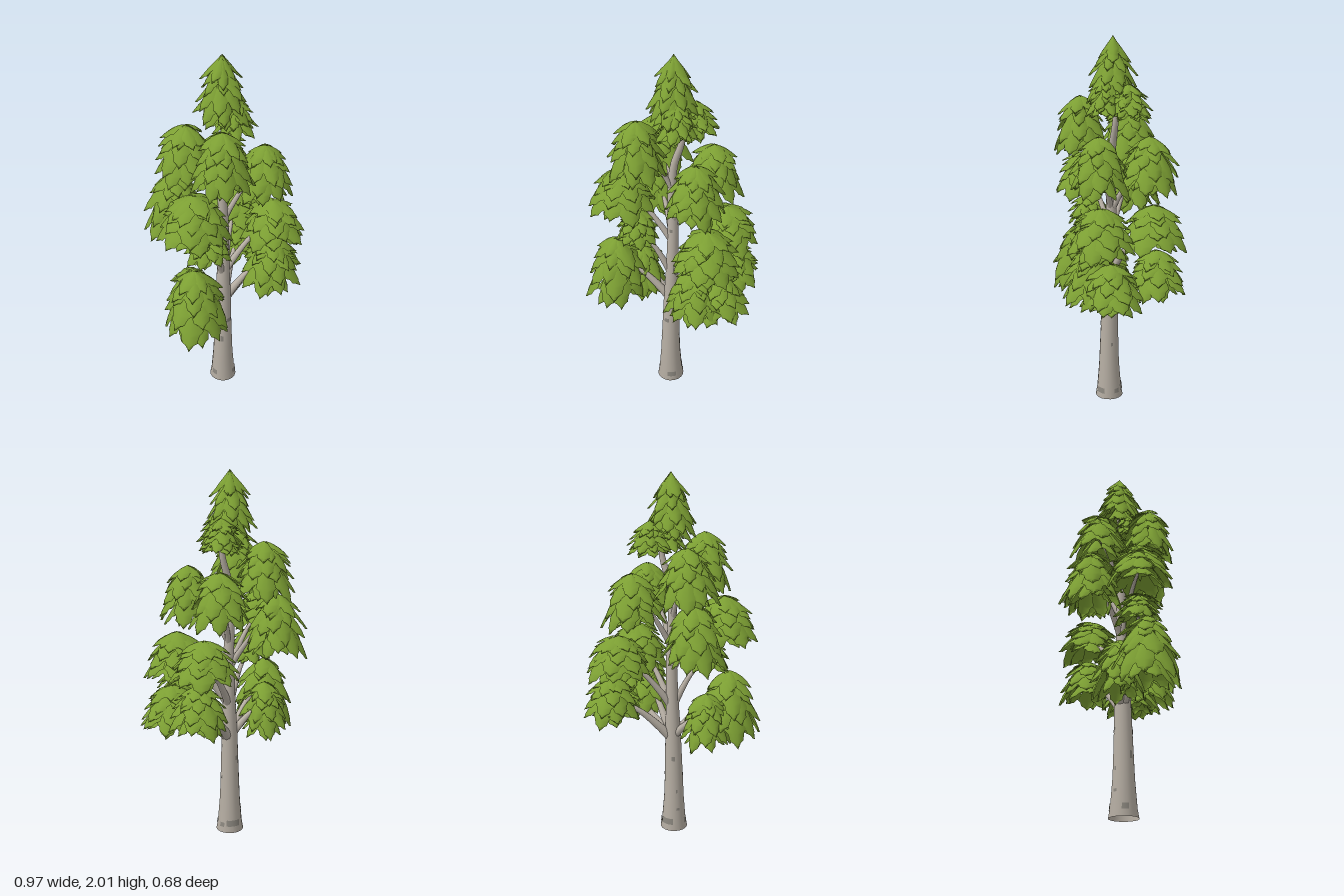
import * as THREE from 'three';
import { mergeGeometries } from 'three/addons/utils/BufferGeometryUtils.js';

// small seeded generator for natural variation
let seed = 7;
const rnd = () => {
  seed = (seed * 16807) % 2147483647;
  return seed / 2147483647;
};
const jitter = (a) => (rnd() * 2 - 1) * a;

// leaf outline: [distance along leaf, relative half width]
const OUTLINE = [[0, 0.6], [0.3, 0.95], [0.6, 1], [0.68, 0.68], [0.84, 0.5], [0.88, 0.28], [1, 0]];
const ACROSS = [-1, -0.5, 0, 0.5, 1];

// one drooping leaf laid along the meridian of a dome; tuck pulls its root inward
function leaf(profile, az, halfAngle, t0, t1, lift, flare, tuck) {
  const pos = [], index = [], n = ACROSS.length;
  OUTLINE.forEach(([v, w]) => {
    for (const s of ACROSS) {
      const [r, y] = profile(t0 + (t1 - t0) * v);
      const a = az + s * w * halfAngle;
      // edges curl inward, tip flares outward
      const bend = lift + flare * v * v - 0.012 * s * s;
      const out = r * (1 - tuck * (1 - v) ** 2) + bend * Math.min(1, r / 0.04);
      pos.push(Math.sin(a) * out, y + lift * 0.5, Math.cos(a) * out);
    }
  });
  for (let i = 0; i < OUTLINE.length - 1; i++) {
    for (let j = 0; j < n - 1; j++) {
      const a = i * n + j, b = a + n;
      index.push(a, b, a + 1, b, b + 1, a + 1);
    }
  }
  const g = new THREE.BufferGeometry();
  g.setAttribute('position', new THREE.Float32BufferAttribute(pos, 3));
  g.setIndex(index);
  g.computeVertexNormals();
  return g;
}

// dome of overlapping leaf tiers; cone = 0 is round, 1 is straight sided
function leafDome(R, H, cone, counts) {
  const profile = (t) => {
    const a = t * Math.PI / 2;
    return [
      R * THREE.MathUtils.lerp(Math.sin(a), t, cone),
      -H * THREE.MathUtils.lerp(1 - Math.cos(a), t, cone),
    ];
  };
  const parts = [];
  counts.forEach((count, k) => {
    const t0 = k === 0 ? 0 : (k / counts.length) * 0.8 - 0.06;
    const turn = rnd() * 6.28;
    for (let i = 0; i < count; i++) {
      const az = turn + (i / count) * Math.PI * 2 + jitter(0.15);
      const t1 = t0 + (k === 0 ? 0.46 : 0.4) + jitter(0.07);
      const lift = 0.005 + (i % 2) * 0.006 - k * 0.001;
      parts.push(leaf(profile, az, (Math.PI / count) * 1.25, t0, t1, lift,
        0.03 + jitter(0.014), k === 0 ? 0 : 0.3));
    }
  });
  return mergeGeometries(parts);
}

// outer dome plus a narrower one hanging lower inside it
function leafCluster(R, H, cone) {
  const outer = leafDome(R - 0.026, H * 0.9, cone, [5, 6, 7, 7, 8]);
  const inner = leafDome(R * 0.6, H * 0.7, cone, [5, 6, 6]);
  inner.translate(0, -H * 0.34, 0);
  return mergeGeometries([outer, inner]);
}

// tube along a curve, narrowed by a radius rule r(u, y)
function taperedTube(points, radius, segments, sides) {
  const curve = new THREE.CatmullRomCurve3(points.map((p) => new THREE.Vector3(...p)));
  const g = new THREE.TubeGeometry(curve, segments, 1, sides, false);
  const p = g.attributes.position, v = new THREE.Vector3();
  for (let i = 0; i <= segments; i++) {
    const c = curve.getPointAt(i / segments), r = radius(i / segments, c.y);
    for (let j = 0; j <= sides; j++) {
      const id = i * (sides + 1) + j;
      v.fromBufferAttribute(p, id).sub(c).multiplyScalar(r).add(c);
      p.setXYZ(id, v.x, v.y, v.z);
    }
  }
  return g;
}

// trunk radius by height: flared foot, slow taper
const TRUNK = [[0, 0.077], [0.05, 0.068], [0.2, 0.056], [0.4, 0.049], [0.58, 0.044],
  [0.8, 0.034], [1.1, 0.028], [1.45, 0.02], [1.85, 0.007]];
function trunkRadius(y) {
  for (let i = 1; i < TRUNK.length; i++) {
    const [y0, r0] = TRUNK[i - 1], [y1, r1] = TRUNK[i];
    if (y <= y1) return THREE.MathUtils.lerp(r0, r1, Math.max(0, (y - y0) / (y1 - y0)));
  }
  return TRUNK[TRUNK.length - 1][1];
}

// clusters: x, top y, z, radius, height, cone
const CLUSTERS = [
  [0, 2.0, 0, 0.135, 0.36, 0.6],
  [0.095, 1.76, -0.06, 0.11, 0.19, 0.3],
  [0.04, 1.8, 0.05, 0.105, 0.22, 0.5],
  [-0.14, 1.69, 0.14, 0.145, 0.33, 0.15],
  [-0.13, 1.64, -0.13, 0.155, 0.32, 0.15],
  [0.18, 1.51, 0.13, 0.155, 0.33, 0.15],
  [0.16, 1.5, -0.15, 0.155, 0.31, 0.15],
  [-0.27, 1.37, 0.07, 0.18, 0.27, 0.15],
  [-0.18, 1.37, -0.17, 0.16, 0.36, 0.15],
  [-0.18, 1.14, 0.08, 0.125, 0.2, 0.15],
  [0.25, 1.16, 0.14, 0.17, 0.27, 0.15],
  [0.25, 1.16, -0.14, 0.175, 0.25, 0.15],
  [-0.3, 0.95, 0.1, 0.175, 0.43, 0.15],
  [-0.21, 0.85, -0.03, 0.14, 0.32, 0.15],
  [0.21, 0.95, 0.17, 0.16, 0.32, 0.15],
  [0.305, 0.88, 0.1, 0.165, 0.27, 0.15],
  [0.29, 0.93, -0.15, 0.155, 0.27, 0.15],
];

// bark marks: angle about the trunk, y, arc, height
const MARKS = [
  [-0.05, 0.44, 0.6, 0.025], [-0.9, 0.31, 0.3, 0.04], [0.5, 0.045, 0.75, 0.03],
  [1.57, 0.325, 0.25, 0.02], [1.57, 0.51, 0.2, 0.02], [1.9, 0.045, 0.4, 0.025],
  [2.85, 0.055, 1.1, 0.035], [-1.56, 0.05, 0.5, 0.03], [-2.85, 0.44, 0.4, 0.025],
  [-2.5, 0.24, 0.2, 0.02], [-2.4, 0.13, 0.3, 0.015], [0.1, 1.04, 0.6, 0.02],
];

export function createModel() {
  seed = 7;
  const tree = new THREE.Group();
  tree.name = 'tree';
  const material = (name, color) => {
    const m = new THREE.MeshStandardMaterial({ color, side: THREE.DoubleSide });
    m.name = name;
    return m;
  };
  const bark = material('bark grey', 0xb9b1a6);
  const dark = material('dark bark', 0x88847c);
  const green = material('leaf green', 0x7c9f33);
  const add = (name, geometry, mat) => {
    const m = new THREE.Mesh(geometry, mat);
    m.name = name;
    tree.add(m);
    return m;
  };

  // trunk, open at the foot and leaning near the top
  const axis = [[-0.012, 0, 0.018], [-0.012, 0.25, 0.018], [-0.008, 0.55, 0.015],
    [0, 1, 0.01], [0, 1.4, 0.005], [0.05, 1.58, 0], [0.05, 1.85, 0]];
  add('trunk', taperedTube(axis, (u, y) => trunkRadius(y), 40, 18), bark);

  // thin curved marks wrapped on the trunk
  for (const [angle, y, arc, h] of MARKS) {
    const g = new THREE.CylinderGeometry(trunkRadius(y + h / 2) + 0.002, trunkRadius(y - h / 2) + 0.002,
      h, 6, 1, true, angle - arc / 2, arc);
    const up = y > 0.8;
    add('barkMark', g, dark).position.set(up ? 0 : -0.011, y, up ? 0.01 : 0.017);
  }

  CLUSTERS.forEach(([x, y, z, R, H, cone], i) => {
    // leaf cluster
    add('leafCluster', leafCluster(R, H, cone), green).position.set(x, y, z);
    if (i < 3) return;
    // branch rising from the trunk, then bending out into the cluster
    const from = Math.max(0.55, y - 0.42), to = y - 0.13;
    const at = (f, h) => [x * f, THREE.MathUtils.lerp(from, to, h), z * f + 0.01 * (1 - f)];
    const r0 = trunkRadius(from) * 0.62;
    add('branch', taperedTube([at(0, 0), at(0.22, 0.32), at(0.58, 0.74), at(1, 1)],
      (u) => THREE.MathUtils.lerp(r0, 0.007, u), 14, 9), bark);
  });
  return tree;
}
